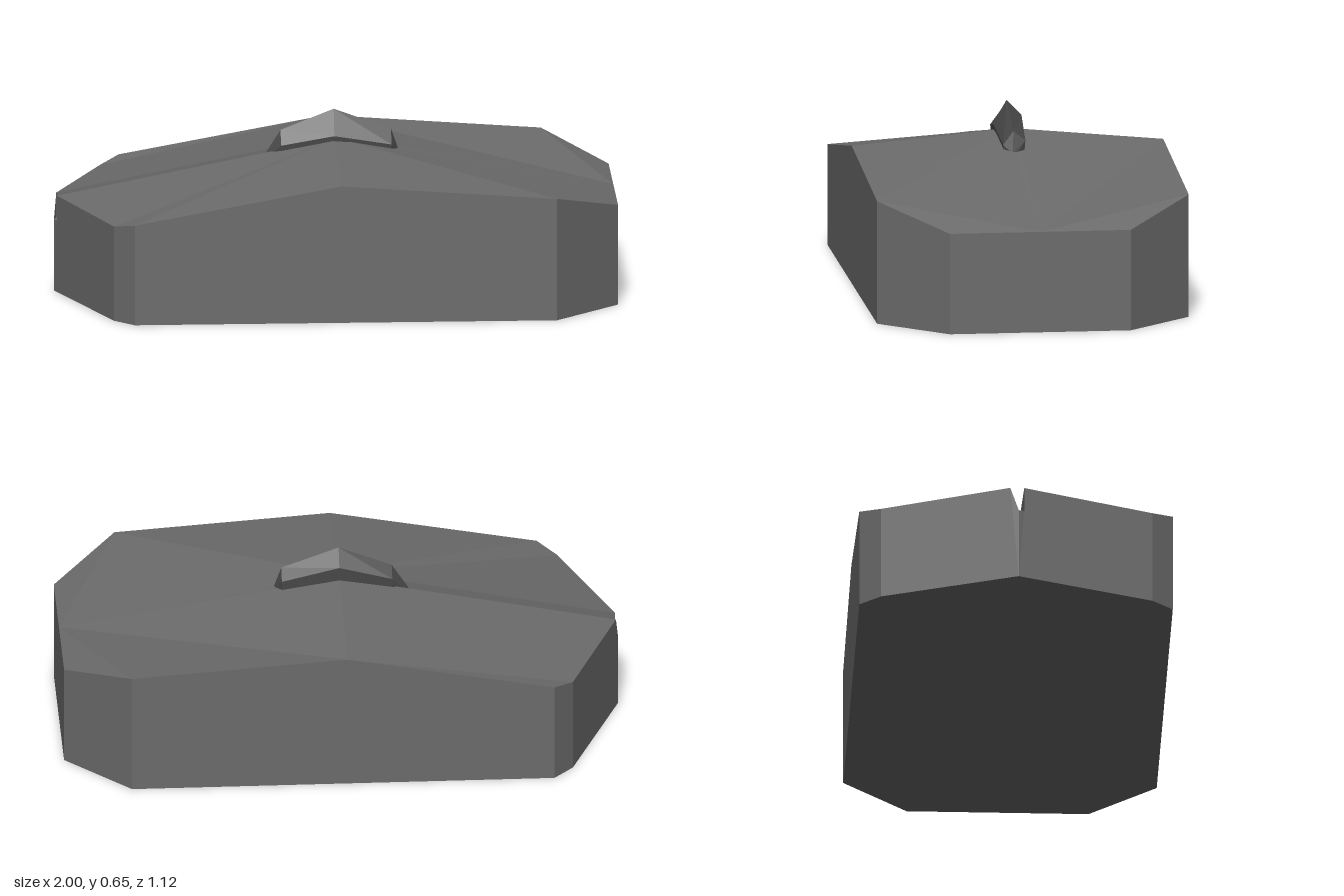
import * as THREE from 'three';

// Flat-shaded geometry from polygons (arrays of Vector3), each cut as a fan from its first corner
function fromPolygons(polygons) {
  const points = [];
  for (const p of polygons) {
    for (let i = 1; i < p.length - 1; i++) points.push(p[0], p[i], p[i + 1]);
  }
  const geometry = new THREE.BufferGeometry().setFromPoints(points);
  geometry.computeVertexNormals();
  return geometry;
}

// One half of the body; side is +1 (front, +z) or -1 (back, -z)
function bodyHalf(side) {
  const v = (x, y, z) => new THREE.Vector3(x, y, z * side);
  const ground = (p) => new THREE.Vector3(p.x, 0, p.z);
  const g = side > 0 ? 0.02 : 0.03; // groove edge
  const nose = v(-0.99, 0.352, g), noseFloor = v(-0.99, 0.262, g), tip = v(-1, 0.26, 0);
  const cheekA = v(-0.81, 0.345, 0.485), cheekB = v(-0.74, 0.365, 0.56);
  const mid = v(0, 0.5, 0.56), hip = v(0.77, 0.445, 0.56);
  const tail = v(1, 0.365, 0.325), tailMid = v(1, 0.365, 0);
  const crown = v(0, 0.55, 0), crownEdge = v(0, 0.55, g);
  const floorEnd = v(0, 0.46, 0), floorEndEdge = v(0, 0.46, g);

  const polygons = [
    // top
    [crownEdge, nose, cheekA, cheekB, mid],
    [crown, crownEdge, mid, hip, tailMid],
    [tailMid, hip, tail],
    // groove wall, floor and end
    [nose, crownEdge, floorEndEdge, noseFloor],
    [tip, noseFloor, floorEndEdge, floorEnd],
    [floorEnd, floorEndEdge, crownEdge, crown],
    // slanted nose wall with the groove notch
    [noseFloor, tip, ground(tip), ground(cheekA), cheekA, nose],
    // underside
    [tailMid, tail, hip, cheekB, cheekA, tip].map(ground),
  ];
  // upright walls
  const rim = [cheekA, cheekB, mid, hip, tail, tailMid];
  for (let i = 0; i < rim.length - 1; i++) {
    polygons.push([rim[i], ground(rim[i]), ground(rim[i + 1]), rim[i + 1]]);
  }
  if (side < 0) polygons.forEach((p) => p.reverse());
  return polygons;
}

// Faceted scroll wheel lofted through five-sided sections along x
function wheelPolygons() {
  const sections = [ // x, ridge height, half width, front shoulder, back shoulder
    [-0.26, 0.47, 0.008, 0.465, 0.465],
    [-0.19, 0.58, 0.04, 0.53, 0.545],
    [0, 0.655, 0.05, 0.565, 0.6],
    [0.205, 0.58, 0.04, 0.53, 0.545],
    [0.23, 0.51, 0.005, 0.5, 0.5],
  ];
  const loops = sections.map(([x, top, w, front, back]) => [
    [top, 0.003], [front, w], [0.45, w * 0.8], [0.45, -w * 0.8], [back, -w],
  ].map(([y, z]) => new THREE.Vector3(x, y, z)));
  const polygons = [loops[0], [...loops[loops.length - 1]].reverse()];
  for (let i = 0; i < loops.length - 1; i++) {
    for (let j = 0; j < 5; j++) {
      const k = (j + 1) % 5;
      polygons.push([loops[i][j], loops[i][k], loops[i + 1][k], loops[i + 1][j]]);
    }
  }
  return polygons;
}

export function createModel() {
  const shellGrey = new THREE.MeshStandardMaterial({ color: 0x6b6b6b, flatShading: true });
  shellGrey.name = 'shellGrey';
  const wheelGrey = new THREE.MeshStandardMaterial({ color: 0x4a4a4a, flatShading: true });
  wheelGrey.name = 'wheelGrey';

  const model = new THREE.Group();
  model.name = 'computerMouse';

  const body = new THREE.Mesh(fromPolygons([...bodyHalf(1), ...bodyHalf(-1)]), shellGrey);
  body.name = 'body';
  const wheel = new THREE.Mesh(fromPolygons(wheelPolygons()), wheelGrey);
  wheel.name = 'scrollWheel';
  model.add(body, wheel);
  return model;
}
